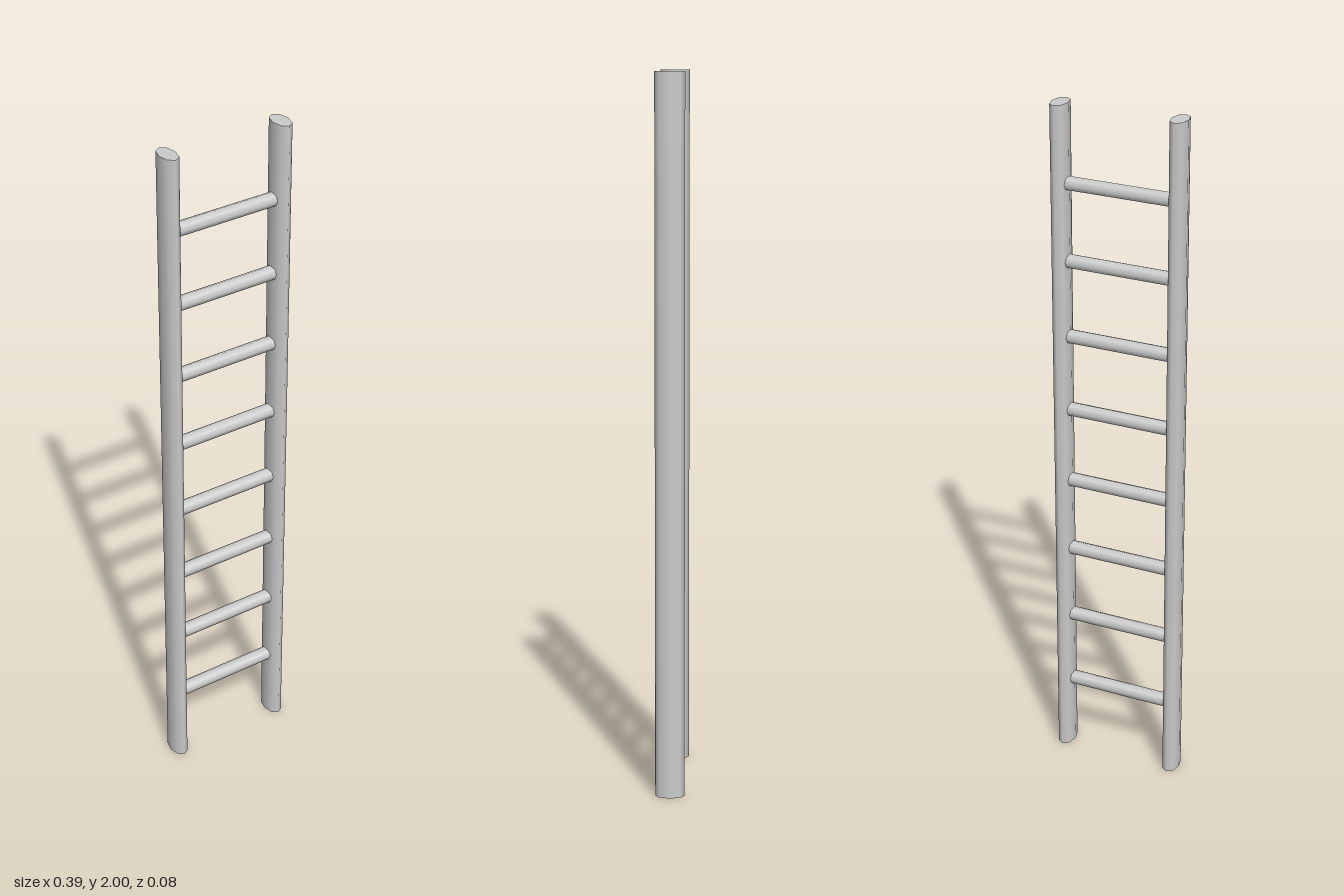
import * as THREE from 'three';

export function createModel() {
  const ladder = new THREE.Group();
  ladder.name = 'ladder';
  const material = new THREE.MeshStandardMaterial({ color: 0xcccccc });

  const height = 2;
  const railX = 0.171;
  const rungCount = 8;

  // Side rails: eight-sided poles, deeper than they are wide
  const railGeometry = new THREE.CylinderGeometry(1, 1, height, 8);
  railGeometry.scale(0.024, 1, 0.041);
  for (const [name, side] of [['leftRail', 1], ['rightRail', -1]]) {
    const rail = new THREE.Mesh(railGeometry, material);
    rail.name = name;
    rail.position.set(side * railX, height / 2, 0);
    ladder.add(rail);
  }

  // Rungs: round bars, evenly spaced, with their ends inside the rails
  const rungGeometry = new THREE.CylinderGeometry(0.0205, 0.0205, railX * 2, 8);
  rungGeometry.rotateZ(Math.PI / 2);
  for (let i = 1; i <= rungCount; i++) {
    const rung = new THREE.Mesh(rungGeometry, material);
    rung.name = `rung${i}`;
    rung.position.y = (height * i) / (rungCount + 1);
    ladder.add(rung);
  }

  return ladder;
}
